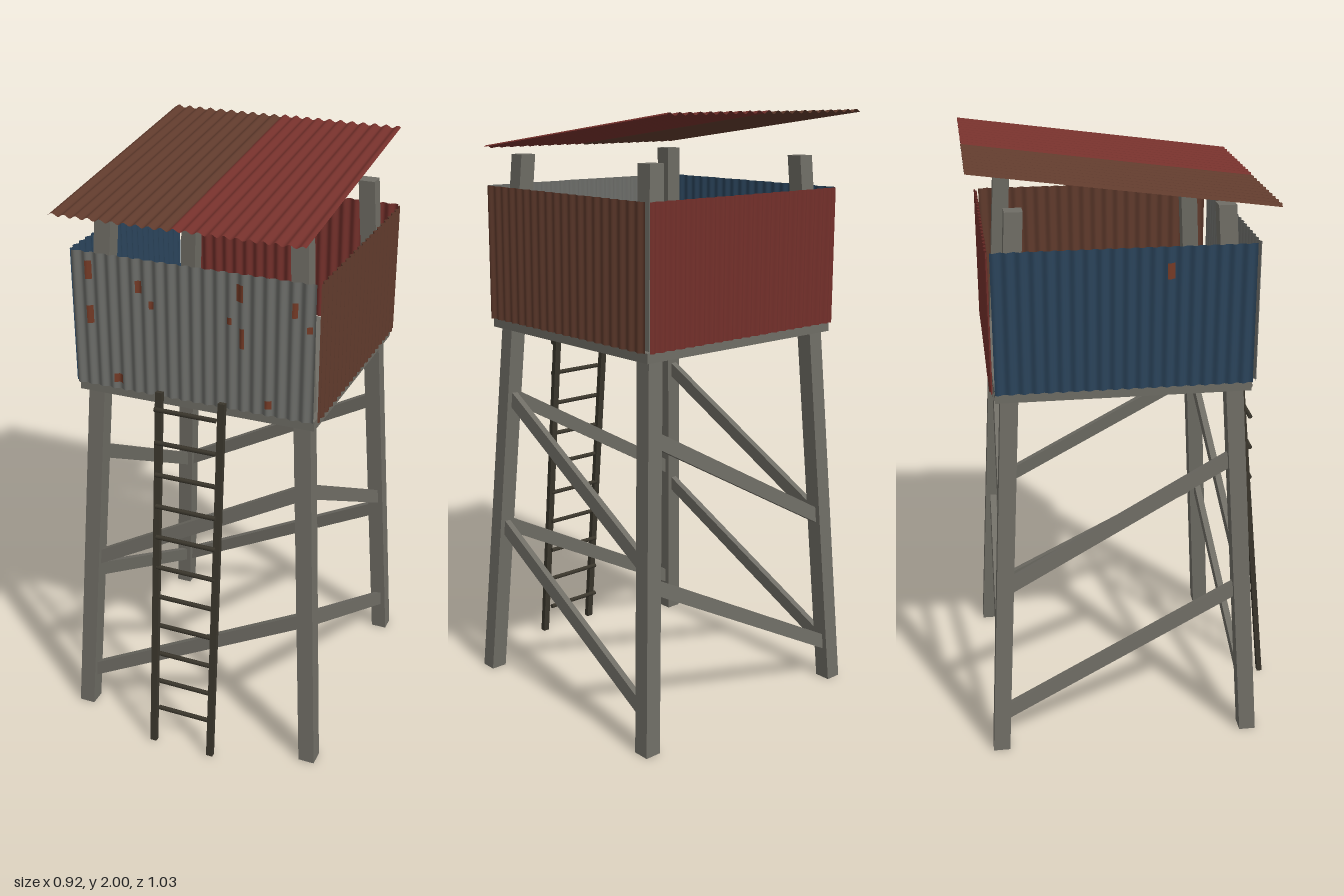
import * as THREE from 'three';

const mat = (name, color, side = THREE.FrontSide) => {
  const m = new THREE.MeshStandardMaterial({ color, side });
  m.name = name;
  return m;
};

const PERIOD = 0.0405; // corrugation wavelength
const AMP = 0.005;
const ZC = -0.0525; // centre of the tower in z

// Corrugated sheet in the XY plane, waves running along x
function sheet(x0, x1, y0, y1) {
  const w = x1 - x0;
  const segs = Math.max(2, Math.round((w / PERIOD) * 8));
  const g = new THREE.PlaneGeometry(w, y1 - y0, segs, 1);
  g.translate((x0 + x1) / 2, (y0 + y1) / 2, 0);
  const p = g.attributes.position;
  for (let i = 0; i < p.count; i++) {
    p.setZ(i, AMP * Math.sin((p.getX(i) / PERIOD) * Math.PI * 2));
  }
  g.computeVertexNormals();
  return g;
}

export function createModel() {
  const model = new THREE.Group();
  const timber = mat('weathered timber', 0x6f6d65);
  const ladderWood = mat('dark ladder wood', 0x3a362c);
  const grey = mat('grey sheet metal', 0x6d6e6a, THREE.DoubleSide);
  const brown = mat('brown sheet metal', 0x5f3a2c, THREE.DoubleSide);
  const red = mat('red sheet metal', 0x74302b, THREE.DoubleSide);
  const blue = mat('blue sheet metal', 0x2a435a, THREE.DoubleSide);
  const rust = mat('rust', 0x743a26, THREE.DoubleSide);

  const add = (name, geo, material, parent = model) => {
    const m = new THREE.Mesh(geo, material);
    m.name = name;
    parent.add(m);
    return m;
  };

  // Legs lean inward towards the top
  const H = 1.85;
  const legAt = (y) => 0.43 - (0.106 * y) / H;
  for (const sx of [-1, 1]) {
    for (const sz of [-1, 1]) {
      const g = new THREE.BoxGeometry(0.056, H, 0.056);
      g.translate(0, H / 2, 0);
      const p = g.attributes.position;
      for (let i = 0; i < p.count; i++) {
        const r = legAt(p.getY(i));
        p.setX(i, p.getX(i) + sx * r);
        p.setZ(i, p.getZ(i) + sz * r + ZC);
      }
      g.computeVertexNormals();
      add('leg', g, timber);
    }
  }

  // Board between two points, its broad face turned towards 'out'
  const board = (name, a, b, out, width, depth, material) => {
    const dir = b.clone().sub(a);
    const m = add(name, new THREE.BoxGeometry(dir.length(), width, depth), material);
    const x = dir.normalize();
    const y = new THREE.Vector3().crossVectors(out, x).normalize();
    const z = new THREE.Vector3().crossVectors(x, y);
    m.quaternion.setFromRotationMatrix(new THREE.Matrix4().makeBasis(x, y, z));
    m.position.copy(a).add(b).multiplyScalar(0.5);
  };

  // Two diagonal braces on each of the four faces
  for (const [low, high] of [[0.125, 0.555], [0.6, 1.025]]) {
    const rl = legAt(low), rh = legAt(high);
    for (const s of [-1, 1]) {
      board('faceBrace',
        new THREE.Vector3(-rl, low, s * rl + ZC), new THREE.Vector3(rh, high, s * rh + ZC),
        new THREE.Vector3(0, 0.057, s), 0.047, 0.022, timber);
      board('sideBrace',
        new THREE.Vector3(s * rl, low, -rl + ZC), new THREE.Vector3(s * rh, high, rh + ZC),
        new THREE.Vector3(s, 0.057, 0), 0.047, 0.022, timber);
    }
  }

  // Platform floor
  add('platform', new THREE.BoxGeometry(0.81, 0.032, 0.81), timber).position.set(0, 1.28, -0.05);

  // Corrugated walls
  const walls = [
    ['frontWall', grey, 0, 0, 0.366],
    ['backWall', red, Math.PI, 0, -0.466],
    ['leftWall', brown, Math.PI / 2, 0.415, -0.05],
    ['rightWall', blue, -Math.PI / 2, -0.415, -0.05],
  ];
  const wallGroups = {};
  for (const [name, material, turn, x, z] of walls) {
    const g = new THREE.Group();
    g.name = name;
    g.rotation.y = turn;
    g.position.set(x, 0, z);
    add(name + 'Sheet', sheet(-0.405, 0.405, 1.295, 1.746), material, g);
    model.add(g);
    wallGroups[name] = g;
  }

  // Rust patches: centre x, centre y, width, height
  const patch = (wall, [x, y, w, h]) => {
    const m = add('rustPatch', sheet(x - w / 2, x + w / 2, y - h / 2, y + h / 2), rust, wallGroups[wall]);
    m.position.z = 0.002;
  };
  [
    [-0.347, 1.688, 0.02, 0.06], [-0.347, 1.54, 0.02, 0.06], [-0.175, 1.655, 0.02, 0.04],
    [-0.133, 1.6, 0.016, 0.026], [-0.255, 1.333, 0.03, 0.03], [0.163, 1.685, 0.024, 0.055],
    [0.13, 1.592, 0.016, 0.022], [0.17, 1.54, 0.016, 0.065], [0.258, 1.333, 0.02, 0.028],
    [0.34, 1.657, 0.016, 0.048], [0.387, 1.6, 0.016, 0.022],
  ].forEach((r) => patch('frontWall', r));
  patch('rightWall', [0.14, 1.67, 0.025, 0.05]);

  // Sloping roof made of two overlapping corrugated sheets
  const roof = new THREE.Group();
  roof.name = 'roof';
  const rise = 0.126, run = 0.931;
  const half = Math.hypot(rise, run) / 2;
  add('brownRoofSheet', sheet(-0.453, -0.036, -half, half), brown, roof);
  add('redRoofSheet', sheet(-0.043, 0.385, -half, half), red, roof).position.z = 0.002;
  roof.rotation.x = -Math.PI / 2 + Math.atan2(rise, run);
  roof.position.set(0, 1.931, -0.051);
  model.add(roof);

  // Ladder rails lean against the front
  for (const s of [-1, 1]) {
    board('ladderRail',
      new THREE.Vector3(s * 0.108, 0.002, 0.503), new THREE.Vector3(s * 0.108, 1.315, 0.378),
      new THREE.Vector3(0, 0, 1).applyAxisAngle(new THREE.Vector3(1, 0, 0), -0.095),
      0.023, 0.018, ladderWood);
  }

  // Ladder rungs
  for (let i = 0; i < 11; i++) {
    const t = i / 10;
    const g = new THREE.CylinderGeometry(0.008, 0.008, 0.212, 8);
    g.rotateZ(Math.PI / 2);
    add('ladderRung', g, ladderWood).position.set(0, 0.112 + 1.162 * t, 0.459 - 0.037 * t);
  }

  return model;
}
